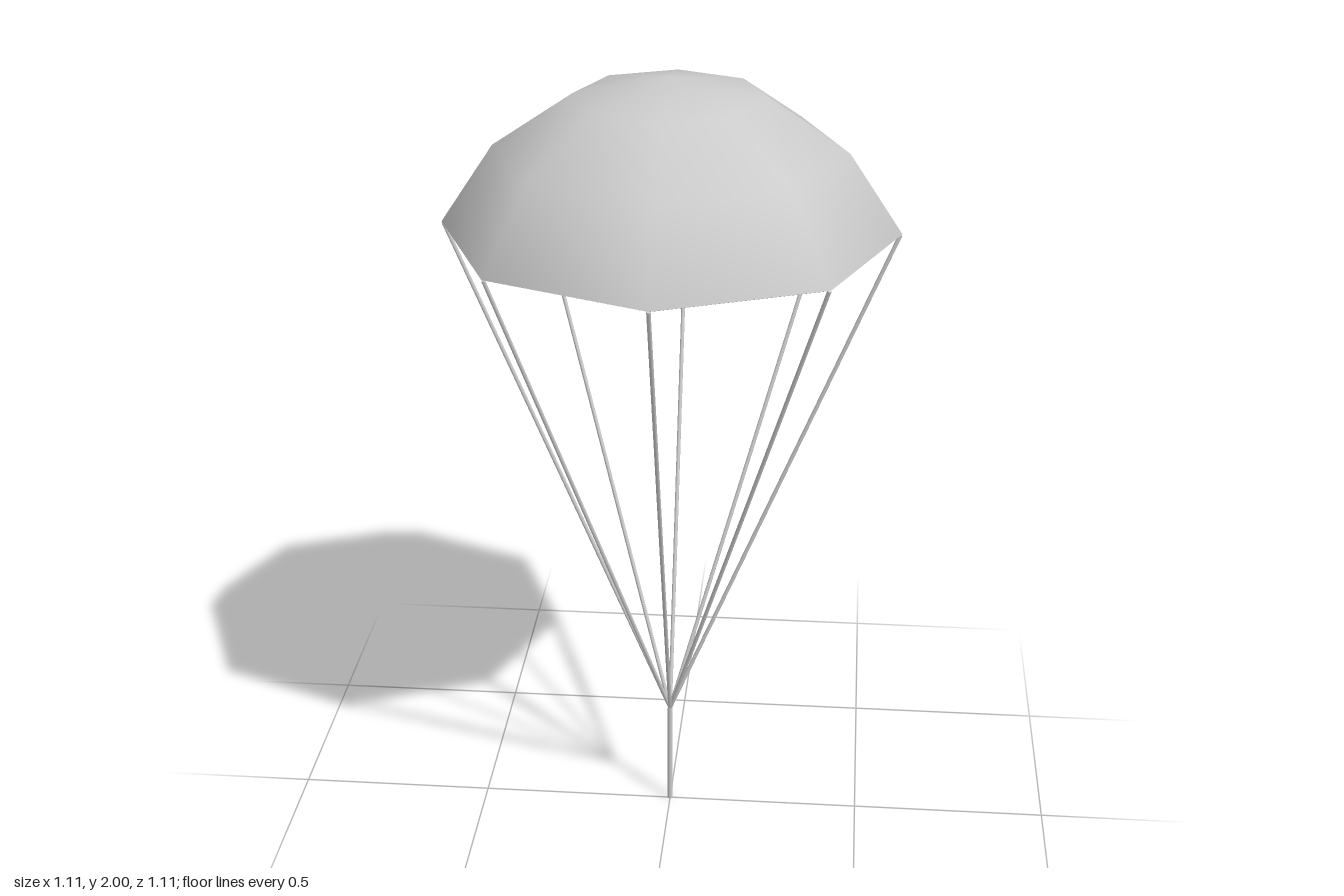
import * as THREE from 'three';

const SIDES = 8;
const CENTER_Y = 1.4;            // centre of the sphere the canopy is cut from
const OUTER = 0.6, INNER = 0.59; // canopy shell radii
const RIM_ANGLE = Math.PI * 3 / 8;
const KNOT = new THREE.Vector3(0, 0.285, 0);

const material = (side = THREE.FrontSide) => new THREE.MeshStandardMaterial({ color: 0xcccccc, side });

function add(parent, name, geometry, mat) {
  const mesh = new THREE.Mesh(geometry, mat);
  mesh.name = name;
  parent.add(mesh);
  return mesh;
}

// Thin rod running from a to b
function rod(parent, name, a, b, radius, mat) {
  const dir = b.clone().sub(a);
  const mesh = add(parent, name, new THREE.CylinderGeometry(radius, radius, dir.length(), 8), mat);
  mesh.position.copy(a).add(b).multiplyScalar(0.5);
  mesh.quaternion.setFromUnitVectors(new THREE.Vector3(0, 1, 0), dir.normalize());
}

export function createModel() {
  const model = new THREE.Group();
  model.name = 'parachute';
  const grey = material();

  // Canopy: eight-sided dome with a thin shell
  const canopy = new THREE.Group();
  canopy.name = 'canopy';
  canopy.position.y = CENTER_Y;
  model.add(canopy);
  const dome = (r) => new THREE.SphereGeometry(r, SIDES, 3, 0, Math.PI * 2, 0, RIM_ANGLE);
  add(canopy, 'canopyOuter', dome(OUTER), grey);
  add(canopy, 'canopyInner', dome(INNER), material(THREE.BackSide));
  const rimPoint = (r) => new THREE.Vector2(r * Math.sin(RIM_ANGLE), r * Math.cos(RIM_ANGLE));
  add(canopy, 'canopyRim', new THREE.LatheGeometry([rimPoint(INNER), rimPoint(OUTER)], SIDES),
    material(THREE.DoubleSide));

  // Suspension lines from each rim corner to the knot
  const lines = new THREE.Group();
  lines.name = 'suspensionLines';
  model.add(lines);
  const mid = rimPoint((OUTER + INNER) / 2);
  for (let i = 0; i < SIDES; i++) {
    const a = i / SIDES * Math.PI * 2;
    const corner = new THREE.Vector3(mid.x * Math.cos(a), CENTER_Y + mid.y, mid.x * Math.sin(a));
    rod(lines, 'suspensionLine', KNOT, corner, 0.005, grey);
  }

  // Main cord hanging below the knot
  rod(model, 'mainCord', new THREE.Vector3(), KNOT, 0.007, grey);
  return model;
}
